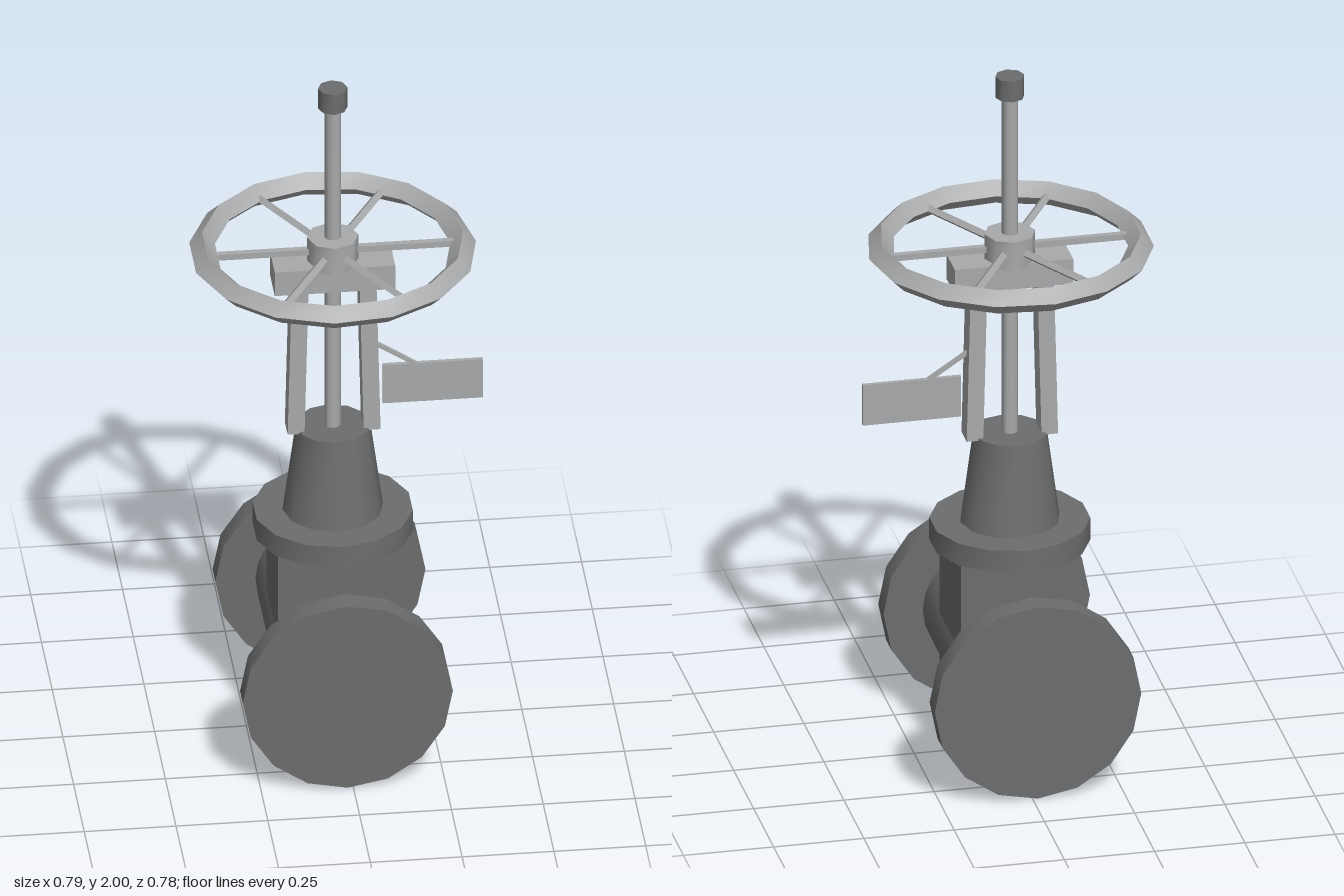
import * as THREE from 'three';
import { toCreasedNormals } from 'three/addons/utils/BufferGeometryUtils.js';

export function createModel() {
  const model = new THREE.Group();
  model.name = 'gateValve';
  const darkIron = new THREE.MeshStandardMaterial({ name: 'darkIron', color: 0x6c6d6e });
  const lightSteel = new THREE.MeshStandardMaterial({ name: 'lightSteel', color: 0xa8a9aa });

  // Everything except the sign is centred on the stem axis
  const valve = new THREE.Group();
  valve.name = 'valve';
  valve.position.x = -0.015;
  model.add(valve);

  function add(name, geometry, material, x = 0, y = 0, z = 0, parent = valve) {
    const mesh = new THREE.Mesh(geometry, material);
    mesh.name = name;
    mesh.position.set(x, y, z);
    parent.add(mesh);
    return mesh;
  }
  const drum = (rTop, rBottom, height, sides) =>
    toCreasedNormals(new THREE.CylinderGeometry(rTop, rBottom, height, sides), 0.9);
  // Upright round part between two heights
  const upright = (name, rTop, rBottom, y0, y1, sides, material) =>
    add(name, drum(rTop, rBottom, y1 - y0, sides), material, 0, (y0 + y1) / 2);

  // Body with pipe and end flanges along z
  add('body', new THREE.BoxGeometry(0.33, 0.6, 0.27), darkIron, 0, 0.32);
  add('pipe', drum(0.177, 0.177, 0.6, 24).rotateX(Math.PI / 2), darkIron, 0, 0.29);
  for (const s of [1, -1]) {
    add(s > 0 ? 'frontFlange' : 'backFlange',
      drum(0.286, 0.286, 0.066, 16).rotateX(Math.PI / 2), darkIron, 0, 0.288, s * 0.321);
  }

  // Bonnet
  upright('bonnetFlange', 0.218, 0.218, 0.615, 0.68, 14, darkIron);
  upright('bonnet', 0.102, 0.137, 0.68, 0.94, 12, darkIron);

  // Yoke: two slightly leaning legs under a crosspiece
  for (const s of [1, -1]) {
    const leg = add(s > 0 ? 'leftYokeLeg' : 'rightYokeLeg',
      new THREE.BoxGeometry(0.046, 0.46, 0.066), lightSteel, s * 0.098, 1.163);
    leg.rotation.z = s * 0.024;
  }
  add('yokeTop', new THREE.BoxGeometry(0.328, 0.074, 0.108), lightSteel, 0, 1.423);

  // Stem and cap
  upright('stem', 0.023, 0.023, 0.93, 1.97, 10, lightSteel);
  upright('stemCap', 0.04, 0.04, 1.938, 2, 8, darkIron);

  // Handwheel with a diamond-section rim
  const wheel = new THREE.Group();
  wheel.name = 'handwheel';
  wheel.position.y = 1.49;
  valve.add(wheel);
  add('rim', toCreasedNormals(new THREE.TorusGeometry(0.355, 0.035, 4, 15), 0.9)
    .rotateX(Math.PI / 2), lightSteel, 0, 0, 0, wheel);
  add('hub', drum(0.07, 0.07, 0.085, 8), lightSteel, 0, 0, 0, wheel);
  for (let i = 0; i < 6; i++) {
    // Spokes along x lie square, the slanted ones stand on an edge
    const roll = i % 3 === 0 ? Math.PI / 4 : 0;
    const bar = toCreasedNormals(new THREE.CylinderGeometry(0.0125, 0.0125, 0.29, 4), 0.9)
      .rotateY(roll).rotateZ(Math.PI / 2).translate(0.185, 0, 0);
    add('spoke' + (i + 1), bar, lightSteel, 0, 0, 0, wheel).rotation.y = i * Math.PI / 3;
  }

  // Sign plate with its brace
  add('signPlate', new THREE.BoxGeometry(0.272, 0.12, 0.012), lightSteel, 0.257, 1.058, 0, model);
  const brace = add('signBrace', new THREE.BoxGeometry(0.135, 0.011, 0.011),
    lightSteel, 0.154, 1.152, 0, model);
  brace.rotation.z = -0.58;

  return model;
}
